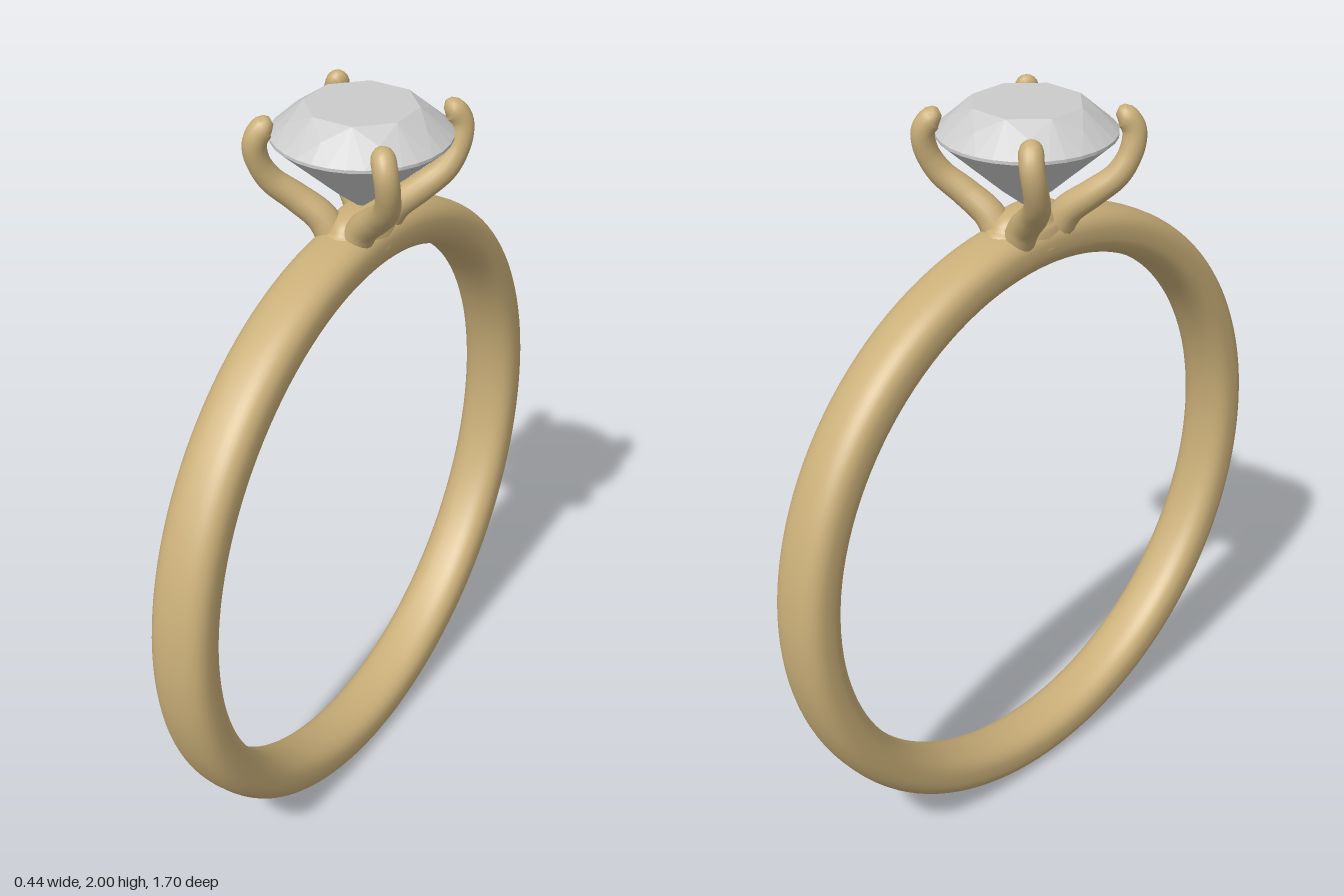
import * as THREE from 'three';
import { mergeVertices } from 'three/addons/utils/BufferGeometryUtils.js';
import { ConvexGeometry } from 'three/addons/geometries/ConvexGeometry.js';

const HEAD_Z = -0.017;

// Drop seams so normals run smoothly all the way round
function smooth(geometry) {
  geometry.deleteAttribute('uv');
  geometry.deleteAttribute('normal');
  const merged = mergeVertices(geometry, 1e-5);
  merged.computeVertexNormals();
  return merged;
}

// Closed band: rounded cross-section revolved about the finger axis
function bandGeometry() {
  const profile = [];
  const steps = 40, power = 2 / 2.6;
  for (let i = 0; i <= steps; i++) {
    const a = (i / steps) * Math.PI * 2;
    const c = Math.cos(a), s = Math.sin(a);
    profile.push(new THREE.Vector2(
      0.787 + 0.0625 * Math.sign(c) * Math.abs(c) ** power,
      0.08 * Math.sign(s) * Math.abs(s) ** power));
  }
  return smooth(new THREE.LatheGeometry(profile, 128).rotateZ(Math.PI / 2));
}

// Tube along a curve whose radius varies with u (0..1)
function taperedTube(curve, segments, sides, radiusAt) {
  const geometry = new THREE.TubeGeometry(curve, segments, 1, sides);
  const pos = geometry.attributes.position;
  const v = new THREE.Vector3();
  for (let i = 0; i <= segments; i++) {
    const centre = curve.getPointAt(i / segments);
    for (let j = 0; j <= sides; j++) {
      const k = i * (sides + 1) + j;
      v.fromBufferAttribute(pos, k).sub(centre).multiplyScalar(radiusAt(i / segments)).add(centre);
      pos.setXYZ(k, v.x, v.y, v.z);
    }
  }
  return smooth(geometry);
}

// One claw: leaves the base, swings outward, then hooks over the girdle
function prongGeometry(sx, sz) {
  const path = [
    [0.03, 1.67, 0.07], [0.06, 1.72, 0.078], [0.115, 1.77, 0.105], [0.162, 1.82, 0.142],
    [0.181, 1.88, 0.17], [0.179, 1.93, 0.178], [0.162, 1.962, 0.163], [0.146, 1.966, 0.147],
  ].map(([x, y, z]) => new THREE.Vector3(x * sx, y, z * sz));
  const radiusAt = (u) => {
    const body = 0.042 - 0.012 * Math.min(1, u * 1.5);
    const t = Math.max(0, (u - 0.92) / 0.08);
    return body * Math.sqrt(Math.max(0, 1 - t * t));
  };
  return taperedTube(new THREE.CatmullRomCurve3(path), 48, 16, radiusAt);
}

// Round brilliant cut: rings of facet corners wrapped in a convex hull
function stoneGeometry() {
  const points = [new THREE.Vector3(0, 1.73, 0)];
  const ring = (count, radius, y, turn) => {
    for (let i = 0; i < count; i++) {
      const a = ((i + turn) / count) * Math.PI * 2;
      points.push(new THREE.Vector3(radius * Math.sin(a), y, radius * Math.cos(a)));
    }
  };
  ring(8, 0.14, 2.0, 0.5);     // table
  ring(8, 0.18, 1.968, 0);     // crown mains
  ring(32, 0.222, 1.93, 0);    // upper girdle
  ring(32, 0.222, 1.922, 0);   // lower girdle
  ring(8, 0.066, 1.782, 0.5);  // pavilion
  return new ConvexGeometry(points);
}

// Flared saddle joining the claws to the band
function baseGeometry() {
  const profile = [[0.13, 1.64], [0.115, 1.685], [0.1, 1.7], [0.09, 1.715], [0.07, 1.73], [0.035, 1.738], [0, 1.74]];
  const curve = new THREE.SplineCurve(profile.map(([r, y]) => new THREE.Vector2(r, y)));
  const points = curve.getPoints(24);
  points.forEach((p) => { p.x = Math.max(0, p.x); });
  const geometry = new THREE.LatheGeometry(points, 40);
  geometry.scale(0.62, 1, 1.15);
  return smooth(geometry);
}

export function createModel() {
  const gold = new THREE.MeshStandardMaterial({ color: 0xc9ae78 });
  const grey = new THREE.MeshStandardMaterial({ color: 0xcccccc, flatShading: true });
  const model = new THREE.Group();
  model.name = 'ring';
  const add = (parent, name, geometry, material) => {
    const mesh = new THREE.Mesh(geometry, material);
    mesh.name = name;
    parent.add(mesh);
    return mesh;
  };

  add(model, 'band', bandGeometry(), gold).position.y = 0.852;

  const head = new THREE.Group();
  head.name = 'head';
  head.position.z = HEAD_Z;
  model.add(head);
  add(head, 'stone', stoneGeometry(), grey);
  add(head, 'settingBase', baseGeometry(), gold);
  for (const sx of [1, -1]) {
    for (const sz of [1, -1]) {
      const name = (sz > 0 ? 'front' : 'back') + (sx > 0 ? 'Left' : 'Right') + 'Prong';
      add(head, name, prongGeometry(sx, sz), gold).position.x = -0.006;
    }
  }
  return model;
}
